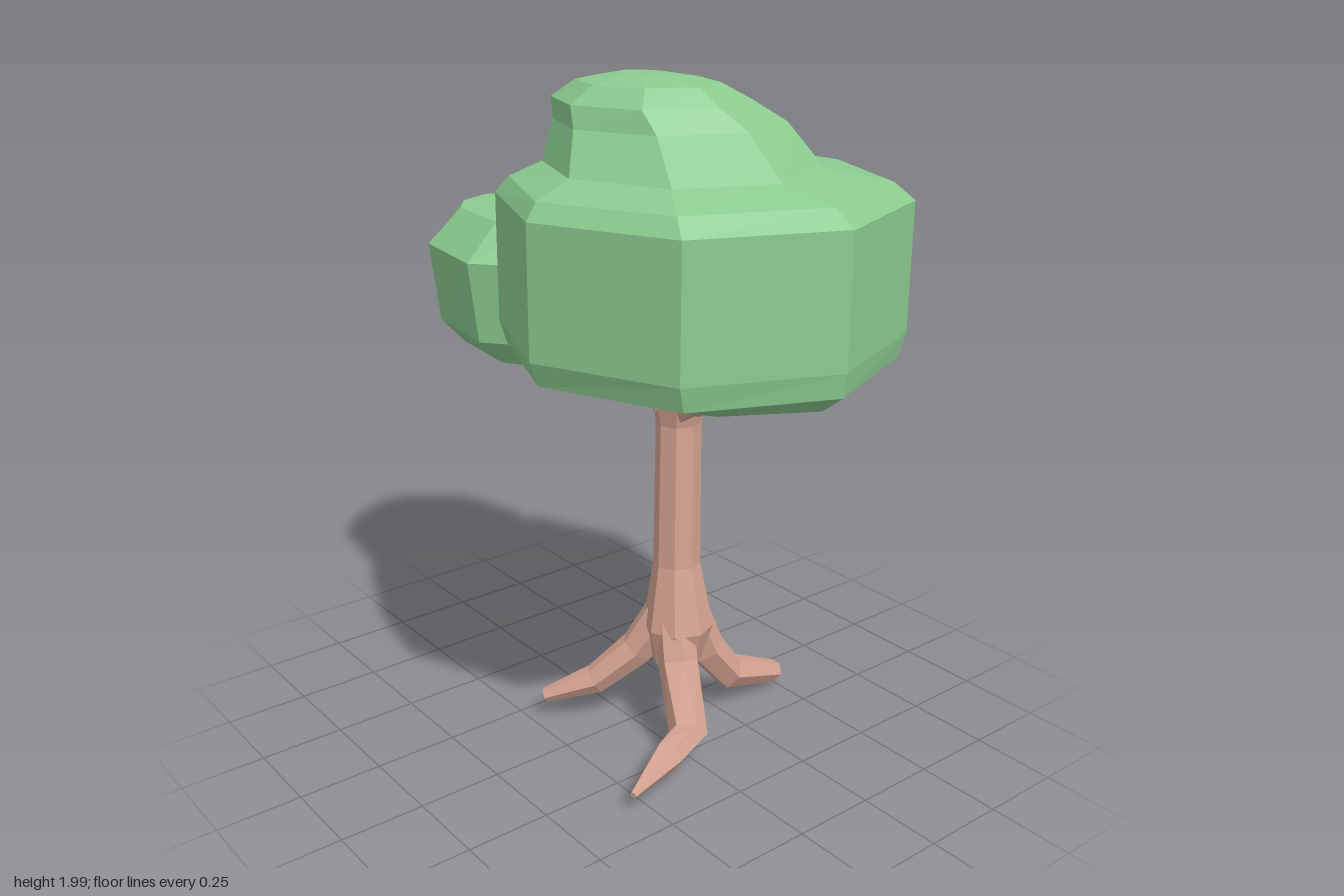
import * as THREE from 'three';

const leafGreen = new THREE.MeshStandardMaterial({ color: 0x8bcb8f });
const barkBrown = new THREE.MeshStandardMaterial({ color: 0xd5a392 });

// Joins rings of points into a closed, faceted skin with capped ends.
function loft(name, rings, material) {
  const pos = [];
  const tri = (...pts) => pts.forEach((p) => pos.push(p.x, p.y, p.z));
  const n = rings[0].length;
  const middle = (ring) => ring.reduce((s, p) => s.add(p), new THREE.Vector3()).divideScalar(n);
  const first = rings[0], last = rings[rings.length - 1];
  const start = middle(first), end = middle(last);
  for (let j = 0; j < n; j++) {
    const k = (j + 1) % n;
    for (let i = 0; i < rings.length - 1; i++) {
      const a = rings[i], b = rings[i + 1];
      tri(a[j], a[k], b[k]);
      tri(a[j], b[k], b[j]);
    }
    tri(start, first[k], first[j]);
    tri(end, last[j], last[k]);
  }
  const geometry = new THREE.BufferGeometry();
  geometry.setAttribute('position', new THREE.Float32BufferAttribute(pos, 3));
  geometry.computeVertexNormals();
  const mesh = new THREE.Mesh(geometry, material);
  mesh.name = name;
  return mesh;
}

// Tapered limb through [x, y, z, radius] stations.
function limb(name, stations, sides = 6) {
  const centres = stations.map(([x, y, z]) => new THREE.Vector3(x, y, z));
  const path = centres[centres.length - 1].clone().sub(centres[0]);
  const side = Math.abs(path.y) > 0.8 * path.length()
    ? new THREE.Vector3(0, 0, 1)
    : new THREE.Vector3(-path.z, 0, path.x).normalize();
  const rings = stations.map((s, i) => {
    const t = centres[Math.min(i + 1, centres.length - 1)].clone()
      .sub(centres[Math.max(i - 1, 0)]).normalize();
    const u = side.clone().addScaledVector(t, -side.dot(t)).normalize();
    const v = t.clone().cross(u);
    return Array.from({ length: sides }, (_, j) => {
      const a = (j / sides) * Math.PI * 2;
      return centres[i].clone()
        .addScaledVector(u, Math.cos(a) * s[3])
        .addScaledVector(v, Math.sin(a) * s[3]);
    });
  });
  return loft(name, rings, barkBrown);
}

export function createModel() {
  const tree = new THREE.Group();
  tree.name = 'tree';

  // Trunk, flared toward the roots
  tree.add(limb('trunk', [
    [0.09, 0.24, 0.10, 0.075], [0.09, 0.36, 0.11, 0.105], [0.09, 0.56, 0.10, 0.07],
    [0.095, 1.0, 0.095, 0.066], [0.09, 1.14, 0.10, 0.09], [0.09, 1.24, 0.12, 0.06],
  ], 8));

  // Four spreading roots
  const roots = {
    frontRightRoot: [[0.07, 0.44, 0.11, 0.06], [0.04, 0.27, 0.17, 0.06],
      [-0.01, 0.1, 0.28, 0.058], [-0.14, 0.1, 0.34, 0.045], [-0.31, 0.075, 0.4, 0.01]],
    leftRoot: [[0.11, 0.44, 0.11, 0.06], [0.19, 0.25, 0.12, 0.06],
      [0.29, 0.13, 0.12, 0.055], [0.49, 0.06, 0.12, 0.035]],
    backLeftRoot: [[0.1, 0.44, 0.09, 0.06], [0.15, 0.28, 0, 0.058],
      [0.22, 0.14, -0.12, 0.052], [0.31, 0.045, -0.28, 0.045]],
    backRightRoot: [[0.08, 0.42, 0.08, 0.06], [0.01, 0.26, 0.01, 0.055],
      [-0.09, 0.15, -0.07, 0.045], [-0.21, 0.09, -0.17, 0.022]],
  };
  for (const [name, stations] of Object.entries(roots)) tree.add(limb(name, stations));

  // Branches carrying the two crowns
  tree.add(limb('backBranch', [
    [0.09, 1.08, 0.12, 0.08], [0.11, 1.1, 0, 0.066], [0.17, 1.055, -0.36, 0.05],
    [0.18, 1.2, -0.52, 0.05],
  ]));
  tree.add(limb('frontBranch', [
    [0.09, 1.04, 0.08, 0.07], [0.09, 1.14, 0.2, 0.07], [0.09, 1.21, 0.34, 0.045],
    [0.09, 1.24, 0.47, 0.025],
  ]));

  // Main crown: octagonal drum with an off-centre dome [y, x, z, radius x, radius z]
  const crown = [
    [1.22, 0.02, 0.29, 0.32, 0.44], [1.28, 0, 0.29, 0.52, 0.525], [1.345, 0, 0.29, 0.545, 0.535],
    [1.69, 0, 0.29, 0.545, 0.535], [1.735, -0.01, 0.29, 0.505, 0.48],
    [1.775, -0.055, 0.27, 0.35, 0.37], [1.88, -0.05, 0.215, 0.3, 0.3],
    [1.935, -0.09, 0.19, 0.25, 0.265], [1.98, -0.11, 0.2, 0.17, 0.2], [2, -0.12, 0.2, 0.06, 0.08],
  ];
  tree.add(loft('mainCrown', crown.map(([y, x, z, rx, rz]) =>
    Array.from({ length: 8 }, (_, j) => {
      const a = (j / 8) * Math.PI * 2;
      return new THREE.Vector3(x + Math.sin(a) * rx, y, z + Math.cos(a) * rz);
    })), leafGreen));

  // Back crown: one rounded outline scaled per level [y, scale x, scale z]
  const outline = [[0.2, -0.2], [0.39, -0.36], [0.32, -0.65], [0.19, -0.78], [0.01, -0.83],
    [-0.16, -0.77], [-0.27, -0.65], [-0.32, -0.35], [-0.2, -0.21]];
  const levels = [[1.12, 0.65, 0.88], [1.2, 0.9, 0.96], [1.44, 1, 1], [1.54, 0.65, 0.82]];
  tree.add(loft('backCrown', levels.map(([y, sx, sz]) =>
    outline.map(([x, z]) =>
      new THREE.Vector3(0.02 + (x - 0.02) * sx, y, -0.5 + (z + 0.5) * sz))), leafGreen));

  return tree;
}
